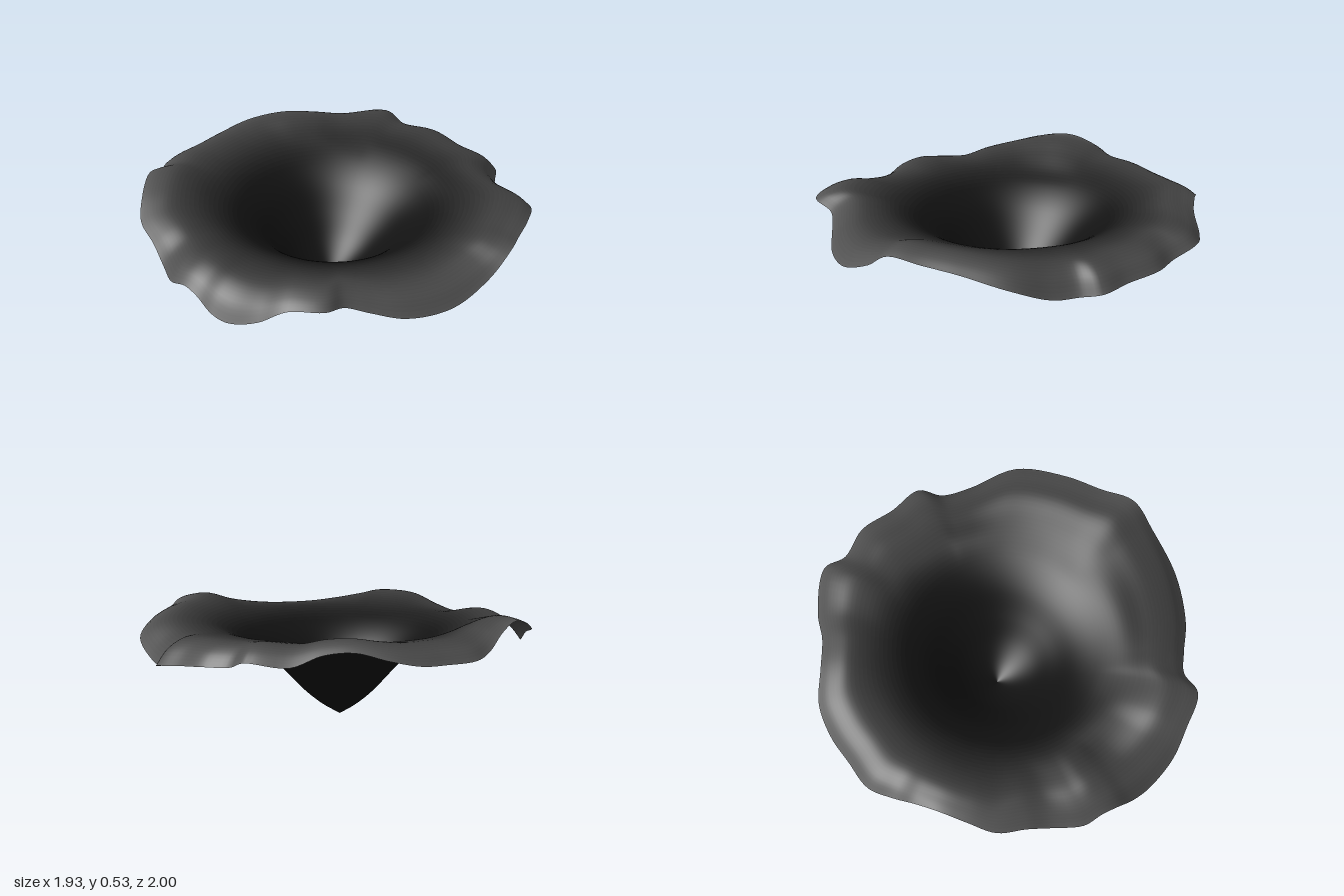
import * as THREE from 'three';

// Ruffled rim: angle in degrees (from +x towards +z), radius, height
const RIM = [
  [0, .965, .425], [12, .965, .45], [22, 1, .475], [31, .977, .385], [45, .955, .305],
  [60, .92, .30], [72, .89, .35], [80, .9, .395], [86, .99, .42], [97, .995, .41],
  [106, 1, .32], [116, .99, .262], [122, .985, .275], [128, .985, .34], [133, .985, .36],
  [139, .99, .335], [148, .95, .33], [156, .955, .39], [165, .985, .43], [174, .97, .49],
  [183, .96, .51], [191, .96, .47], [198, .97, .40], [206, 1, .37], [216, .98, .365],
  [225, .985, .37], [235, .98, .405], [245, .935, .445], [255, .92, .43], [265, .965, .37],
  [278, 1.01, .39], [285, .955, .35], [295, .98, .34], [306, .96, .32], [316, .99, .30],
  [322, .925, .28], [331, .925, .28], [345, .98, .36],
];
const AROUND = 228, RINGS = 48, MEAN_RADIUS = 0.965;

export function createModel() {
  const rim = new THREE.CatmullRomCurve3(RIM.map(([deg, r, h]) => {
    const a = THREE.MathUtils.degToRad(deg);
    return new THREE.Vector3(r * Math.cos(a), h, r * Math.sin(a));
  }), true);

  // Funnel profile: deep round cone, rolled crest, then the rim height
  const positions = [];
  for (let j = 0; j < AROUND; j++) {
    const p = rim.getPoint(j / AROUND);
    const crest = 0.47 + 0.45 * (p.y - 0.38);
    const profile = new THREE.SplineCurve([
      [0, 0], [.09, .05], [.18, .12], [.28, .22], [.39, .325], [.5, .395], [.62, .44],
      [.74, THREE.MathUtils.lerp(.455, crest, .5)], [.85, crest],
      [.94, THREE.MathUtils.lerp(crest, p.y, .4)], [1, p.y],
    ].map(q => new THREE.Vector2(...q)));
    const radius = Math.hypot(p.x, p.z);
    for (let i = 0; i <= RINGS; i++) {
      const { x: s, y } = profile.getPoint(i / RINGS);
      // Round near the throat, ragged only towards the rim; the tip is slightly off centre
      const r = s * THREE.MathUtils.lerp(MEAN_RADIUS, radius, THREE.MathUtils.smoothstep(s, 0.5, 1));
      const shift = -0.035 * (1 - s);
      positions.push(p.x / radius * r + shift, Math.max(0, y), p.z / radius * r + shift);
    }
  }

  // Shared vertices; each shade uses its own range of rings
  const ringIndex = (from, to) => {
    const index = [];
    for (let j = 0; j < AROUND; j++) {
      const k = (j + 1) % AROUND;
      for (let i = from; i < to; i++) {
        const a = j * (RINGS + 1) + i, b = k * (RINGS + 1) + i;
        if (i > 0) index.push(a, b, a + 1);
        index.push(b, b + 1, a + 1);
      }
    }
    return index;
  };
  const whole = new THREE.BufferGeometry();
  whole.setAttribute('position', new THREE.Float32BufferAttribute(positions, 3));
  whole.setIndex(ringIndex(0, RINGS));
  whole.computeVertexNormals();

  const flower = new THREE.Group();
  flower.name = 'funnelFlower';
  const addBand = (name, from, to, color) => {
    const geometry = new THREE.BufferGeometry();
    geometry.setAttribute('position', whole.attributes.position);
    geometry.setAttribute('normal', whole.attributes.normal);
    geometry.setIndex(ringIndex(from, to));
    const mesh = new THREE.Mesh(geometry, new THREE.MeshStandardMaterial({ color, side: THREE.DoubleSide }));
    mesh.name = name;
    flower.add(mesh);
  };

  // Dark throat, then rings fading to a grey ruffled rim
  const dark = new THREE.Color(0x121212), light = new THREE.Color(0x585858);
  const throatEnd = 24;
  addBand('throat', 0, throatEnd, dark);
  for (let i = throatEnd; i < RINGS; i++) {
    const fade = ((i + 1 - throatEnd) / (RINGS - throatEnd)) ** 1.5;
    addBand(`petalRing${i + 1 - throatEnd}`, i, i + 1, dark.clone().lerp(light, fade));
  }
  return flower;
}
